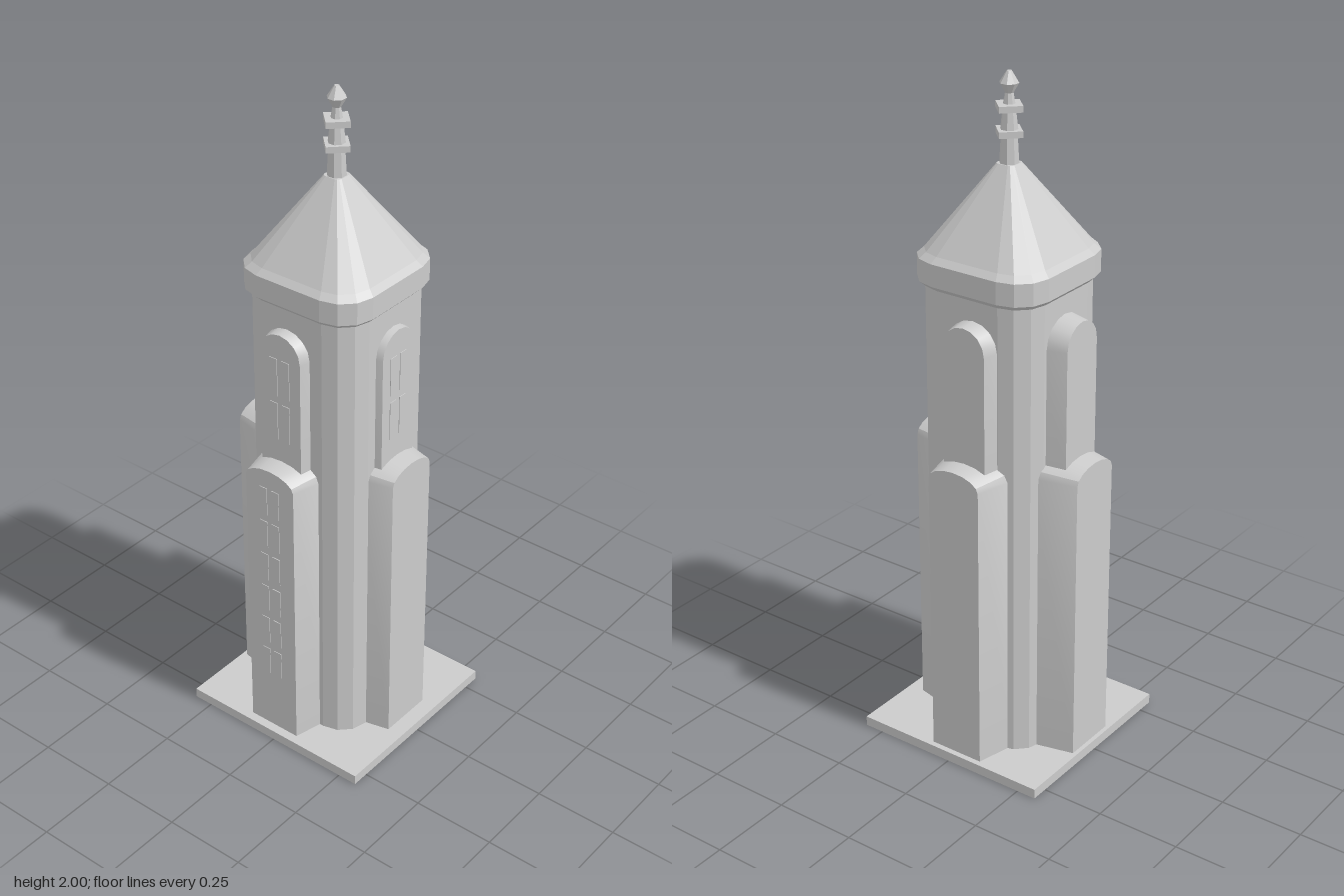
import * as THREE from 'three';
import { toCreasedNormals } from 'three/addons/utils/BufferGeometryUtils.js';

const grey = new THREE.MeshStandardMaterial({ color: 0xcccccc });
const flat = new THREE.MeshStandardMaterial({ color: 0xcccccc, flatShading: true });

// Joins convex outlines (counter-clockwise [x, y] points) stacked along z, and caps both ends
function loft(sections) {
  const pos = [];
  const n = sections[0].pts.length;
  const put = (s, i) => pos.push(s.pts[i % n][0], s.pts[i % n][1], s.z);
  for (let k = 0; k + 1 < sections.length; k++) {
    const a = sections[k], b = sections[k + 1];
    for (let i = 0; i < n; i++) {
      put(a, i); put(a, i + 1); put(b, i + 1);
      put(a, i); put(b, i + 1); put(b, i);
    }
  }
  const first = sections[0], last = sections[sections.length - 1];
  for (let i = 1; i + 1 < n; i++) {
    put(first, 0); put(first, i + 1); put(first, i);
    put(last, 0); put(last, i); put(last, i + 1);
  }
  const g = new THREE.BufferGeometry();
  g.setAttribute('position', new THREE.Float32BufferAttribute(pos, 3));
  g.computeVertexNormals();
  return g;
}

// Square outline with faceted round corners
function roundedSquare(half, radius) {
  const pts = [];
  for (let c = 0; c < 4; c++) {
    const mid = Math.PI / 4 + c * Math.PI / 2;
    const cx = Math.sign(Math.cos(mid)) * (half - radius);
    const cy = Math.sign(Math.sin(mid)) * (half - radius);
    for (let i = 0; i <= 3; i++) {
      const a = c * Math.PI / 2 + i * Math.PI / 6;
      pts.push([cx + radius * Math.cos(a), cy + radius * Math.sin(a)]);
    }
  }
  return pts;
}

// Upright outline with an arched head
function archOutline(cx, half, bottom, spring, top) {
  const pts = [[cx - half, bottom], [cx + half, bottom]];
  for (let i = 0; i <= 8; i++) {
    const a = i * Math.PI / 8;
    pts.push([cx + half * Math.cos(a), spring + (top - spring) * Math.sin(a)]);
  }
  return pts;
}

export function createModel() {
  const model = new THREE.Group();
  const add = (name, geometry, material = flat, parent = model) => {
    const m = new THREE.Mesh(geometry, material);
    m.name = name;
    parent.add(m);
    return m;
  };
  // Vertical loft from [y, half width, corner radius] rows
  const tower = (name, rows) => add(name, loft(rows.map(([y, half, r]) =>
    ({ pts: roundedSquare(half, r), z: y }))).rotateX(-Math.PI / 2));

  // Base slab
  add('base', new THREE.BoxGeometry(0.604, 0.03, 0.62).translate(0, 0.015, 0));

  // Shaft, eave and roof
  tower('shaft', [[0.02, 0.19, 0.09], [1.43, 0.19, 0.09]]);
  tower('eave', [[1.42, 0.193, 0.092], [1.435, 0.208, 0.1], [1.5, 0.208, 0.1]]);
  tower('roof', [[1.5, 0.208, 0.1], [1.517, 0.191, 0.09], [1.75, 0.028, 0.013]]);

  // Arched bays on each side: lower bay and upper bay depths, sideways offset
  const sides = [
    { name: 'front', turn: 0, offset: 0.005, low: 0.262, high: 0.21, upperPanes: true },
    { name: 'back', turn: Math.PI, offset: -0.006, low: 0.297, high: 0.248 },
    { name: 'plusX', turn: Math.PI / 2, offset: 0.018, low: 0.285, high: 0.234 },
    { name: 'minusX', turn: -Math.PI / 2, offset: -0.018, low: 0.275, high: 0.222,
      upperPanes: true, lowerPanes: true },
  ];
  const inner = 0.17;
  for (const s of sides) {
    const side = new THREE.Group();
    side.name = s.name + 'Bays';
    side.rotation.y = s.turn;
    model.add(side);

    const bay = (name, depth, half, bottom, spring, top) => {
      const grow = (depth - inner) * 0.24;
      const g = loft([
        { pts: archOutline(s.offset, half + grow, bottom, spring, top + grow * 0.6), z: inner },
        { pts: archOutline(s.offset, half, bottom, spring, top), z: depth },
      ]);
      add(name, toCreasedNormals(g, 0.5), grey, side);
    };
    bay('lowerBay', s.low, 0.085, 0.02, 0.905, 0.945);
    bay('upperBay', s.high, 0.07, 0.9, 1.285, 1.355);

    // Thin window panes in two columns
    const panes = (depth, rows, y0, pitch, height) => {
      for (let r = 0; r < rows; r++) {
        for (const sx of [-1, 1]) {
          const pane = add('windowPane', new THREE.BoxGeometry(0.027, height, 0.004), flat, side);
          pane.position.set(s.offset - 0.002 + sx * 0.021, y0 + r * pitch, depth);
        }
      }
    };
    if (s.upperPanes) panes(s.high, 2, 1.08, 0.14, 0.117);
    if (s.lowerPanes) panes(s.low, 6, 0.27, 0.114, 0.09);
  }

  // Finial: tapered post, two diamond plates, pointed bulb
  const finial = new THREE.Group();
  finial.name = 'finial';
  model.add(finial);
  const drum = (name, rTop, rBottom, y0, y1, sides = 8, turn = Math.PI / 8) =>
    add(name, new THREE.CylinderGeometry(rTop, rBottom, y1 - y0, sides)
      .rotateY(turn).translate(0, (y0 + y1) / 2, 0), flat, finial);
  drum('lowerPost', 0.023, 0.028, 1.74, 1.83);
  drum('upperPost', 0.018, 0.025, 1.84, 1.9);
  drum('neck', 0.011, 0.018, 1.905, 1.945);
  drum('bulbBottom', 0.027, 0.011, 1.94, 1.968);
  drum('bulbTop', 0.007, 0.027, 1.968, 2.0);
  for (const y of [1.825, 1.894]) drum('diamondPlate', 0.046, 0.046, y, y + 0.018, 4, 0);

  return model;
}
